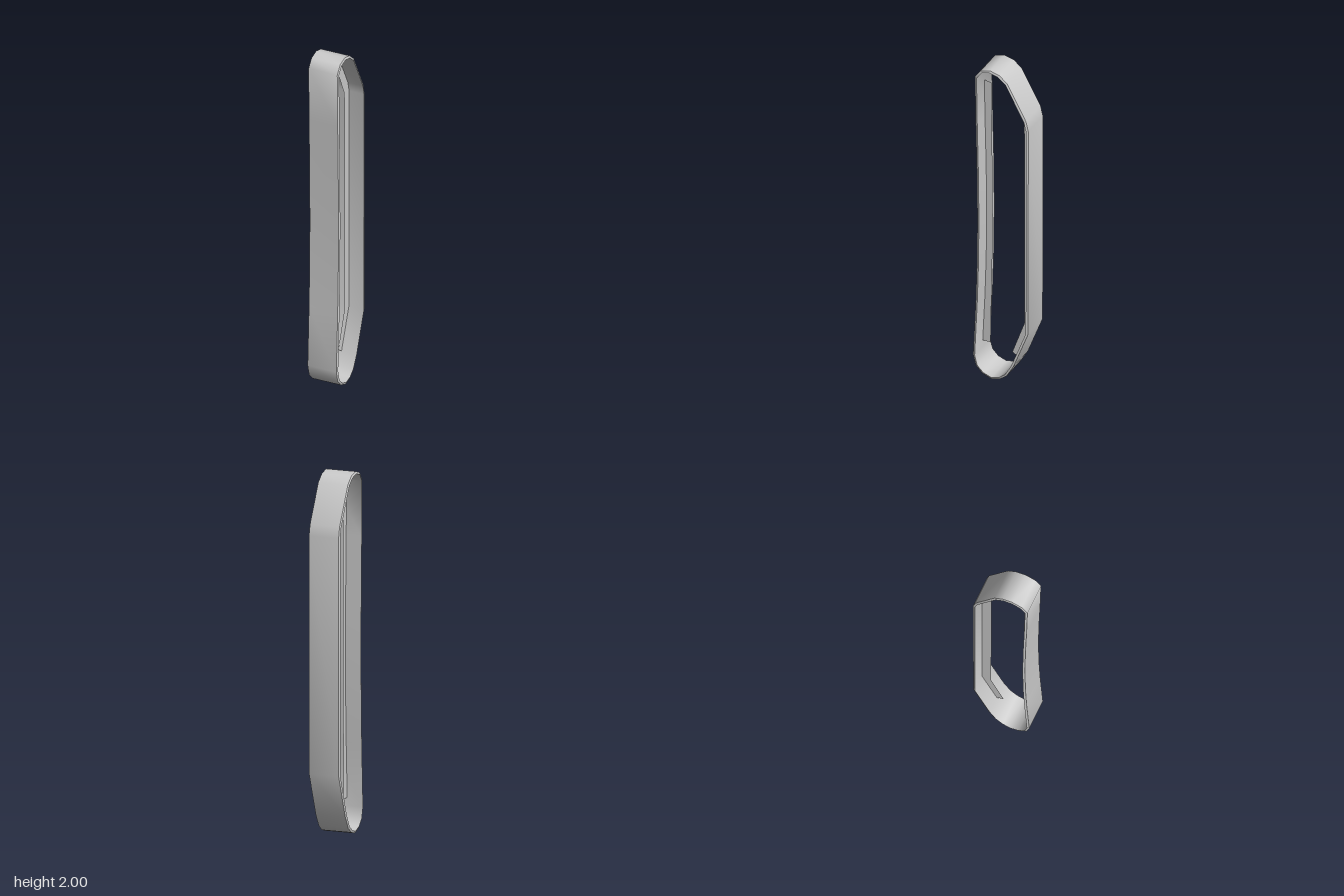
import * as THREE from 'three';
import { toCreasedNormals } from 'three/addons/utils/BufferGeometryUtils.js';

// Side outline of the belt as [z, y], from the top, down the front, up the back
const OUTLINE = [
  [0.066, 2.0], [0.122, 1.983], [0.157, 1.935], [0.152, 1.62], [0.145, 1.3], [0.142, 1.0],
  [0.145, 0.72], [0.152, 0.48], [0.168, 0.125], [0.151, 0.06], [0.112, 0.02], [0.056, 0],
  [0.006, 0.014], [-0.036, 0.047], [-0.077, 0.12], [-0.166, 0.357], [-0.167, 1.675],
  [-0.153, 1.735], [-0.04, 1.945], [0.008, 1.985],
];

// Belt cross-section as [x, depth inward]: narrower outside, bevelled sides
const SECTION = [[-0.087, 0], [0.087, 0], [0.092, 0.012], [-0.092, 0.012]];

// Sweep the section around the closed outline with mitred corners
function beltGeometry() {
  const n = OUTLINE.length, m = SECTION.length;
  const pts = OUTLINE.map(([z, y]) => new THREE.Vector2(z, y));
  const inward = (a, b) => {
    const t = b.clone().sub(a).normalize();
    return new THREE.Vector2(t.y, -t.x);
  };
  const position = [], index = [];
  pts.forEach((p, i) => {
    const n1 = inward(pts[(i + n - 1) % n], p);
    const n2 = inward(p, pts[(i + 1) % n]);
    const mitre = n1.clone().add(n2).divideScalar(1 + n1.dot(n2));
    for (const [x, d] of SECTION) position.push(x, p.y + mitre.y * d, p.x + mitre.x * d);
    for (let k = 0; k < m; k++) {
      const j = ((i + 1) % n) * m, l = (k + 1) % m;
      const a = i * m + k, b = j + k, c = j + l, e = i * m + l;
      index.push(a, b, c, a, c, e);
    }
  });
  const geo = new THREE.BufferGeometry();
  geo.setAttribute('position', new THREE.Float32BufferAttribute(position, 3));
  geo.setIndex(index);
  return toCreasedNormals(geo, 0.75);
}

// Thin upright fin on the centre plane, from a [z, y] outline
function fin(name, outline, material) {
  const shape = new THREE.Shape(outline.map(([z, y]) => new THREE.Vector2(-z, y)));
  const mesh = new THREE.Mesh(new THREE.ShapeGeometry(shape).rotateY(Math.PI / 2), material);
  mesh.name = name;
  return mesh;
}

export function createModel() {
  const group = new THREE.Group();
  group.name = 'trackBelt';
  const grey = new THREE.MeshStandardMaterial({ color: 0xcccccc });
  const thin = new THREE.MeshStandardMaterial({ color: 0xcccccc, side: THREE.DoubleSide });

  const belt = new THREE.Mesh(beltGeometry(), grey);
  belt.name = 'belt';
  group.add(belt);

  // Guide fins along the inside of the front and back runs
  group.add(fin('frontGuideFin', [
    [0.147, 1.867], [0.141, 1.62], [0.134, 1.3], [0.131, 1.0], [0.134, 0.72], [0.141, 0.48], [0.154, 0.172],
    [0.106, 0.172], [0.101, 0.48], [0.096, 0.72], [0.093, 1.0], [0.095, 1.3], [0.099, 1.62], [0.1, 1.862],
  ], thin));
  group.add(fin('backGuideFin', [
    [0.009, 1.91], [-0.098, 1.685], [-0.1, 0.36], [-0.026, 0.15],
    [-0.07, 0.122], [-0.155, 0.358], [-0.156, 1.673], [-0.143, 1.73], [-0.022, 1.95],
  ], thin));
  return group;
}
